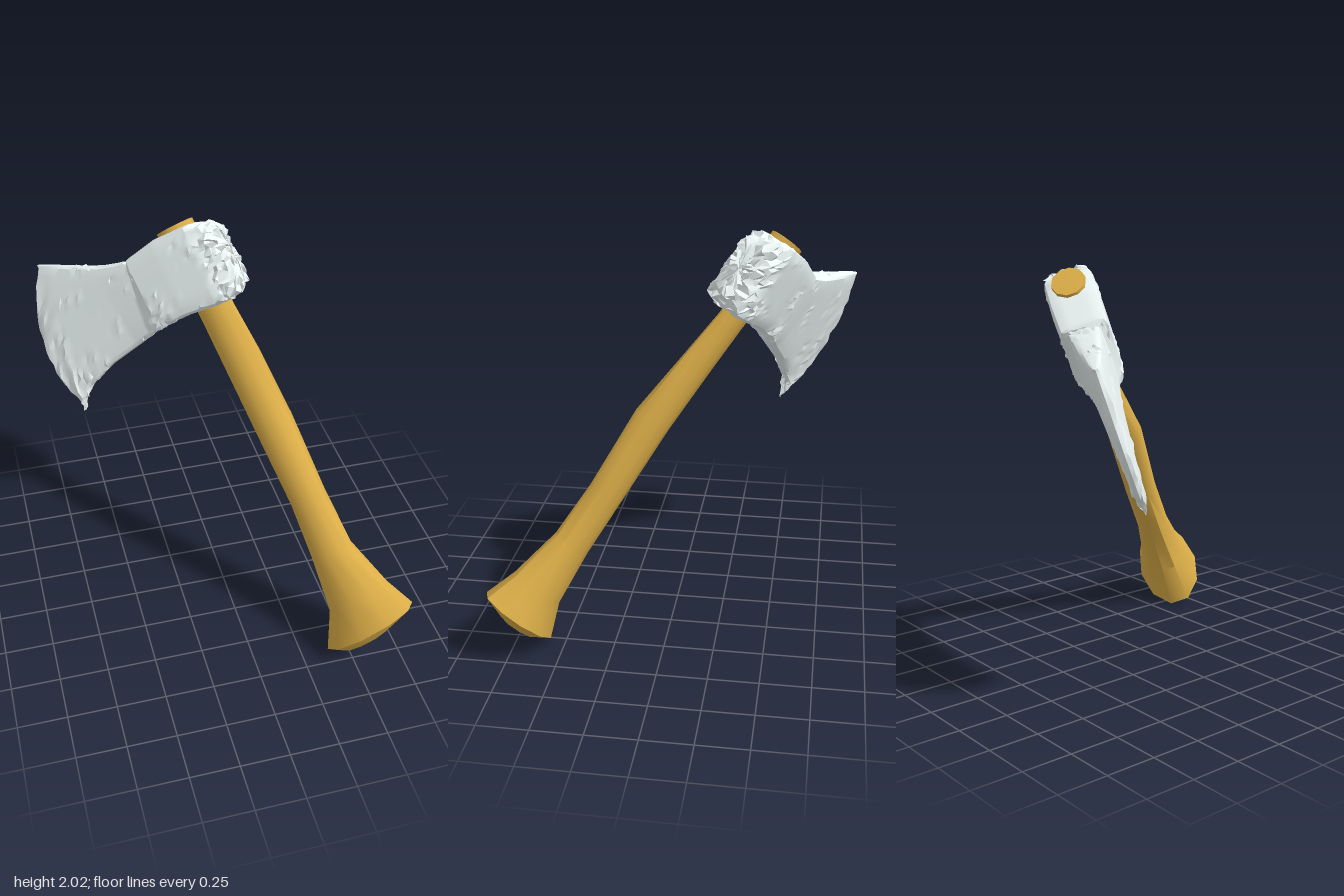
import * as THREE from 'three';
import { toCreasedNormals } from 'three/addons/utils/BufferGeometryUtils.js';

// Skin a list of closed rings (all the same length) with triangles
function loft(rings) {
  const n = rings[0].length, pos = [], idx = [];
  rings.forEach(r => r.forEach(p => pos.push(p.x, p.y, p.z)));
  for (let i = 0; i < rings.length - 1; i++) {
    for (let j = 0; j < n; j++) {
      const a = i * n + j, b = i * n + (j + 1) % n;
      idx.push(a, b, a + n, b, b + n, a + n);
    }
  }
  const g = new THREE.BufferGeometry();
  g.setAttribute('position', new THREE.Float32BufferAttribute(pos, 3));
  g.setIndex(idx);
  return g;
}

// Repeatable noise in -1..1 from a position
function hash(p, seed) {
  const q = v => Math.round(v * 2000);
  const s = Math.sin(q(p.x) * 12.9898 + q(p.y) * 78.233 + q(p.z) * 37.719 + seed * 51.3) * 43758.5453;
  return 2 * (s - Math.floor(s)) - 1;
}

// Hammered roughness: strong on the poll, tip and heel, scattered nicks elsewhere
function roughness(p) {
  const poll = THREE.MathUtils.smoothstep(p.x, 0.06, 0.15) * 0.016;
  const tip = (1 - THREE.MathUtils.smoothstep(Math.hypot(p.x + 0.92, p.y + 0.44), 0.08, 0.24)) * 0.014;
  const heel = (1 - THREE.MathUtils.smoothstep(Math.hypot(p.x + 0.25, p.y + 0.24), 0.03, 0.13)) * 0.01;
  const edge = p.x < -0.84 ? 0.007 : 0;
  const nick = Math.sin(p.x * 17 + 1) * Math.sin(p.y * 19 + p.z * 9) > 0.25 && hash(p, 4) > 0.55 ? 0.01 : 0;
  return Math.max(poll, tip, heel, edge, nick);
}

function headGeometry() {
  // [xTop, xBottom, yTop, yBottom, half thickness, bulge] from poll to cutting edge
  const stations = [
    [0.22, 0.22, -0.08, -0.08, 0, 0],
    [0.212, 0.212, 0.05, -0.22, 0.06, 0],
    [0.175, 0.175, 0.095, -0.26, 0.102, 0],
    [0.08, 0.08, 0.142, -0.28, 0.122, 0],
    [-0.1, -0.1, 0.15, -0.26, 0.122, 0],
    [-0.275, -0.27, 0.125, -0.255, 0.113, 0],
    [-0.3, -0.35, 0.11, -0.265, 0.078, 0],
    [-0.47, -0.45, 0.16, -0.285, 0.06, 0.01],
    [-0.59, -0.66, 0.215, -0.32, 0.046, 0.03],
    [-0.72, -0.85, 0.28, -0.385, 0.031, 0.08],
    [-0.79, -0.92, 0.312, -0.455, 0.016, 0.11],
    [-0.8, -0.93, 0.315, -0.465, 0, 0.112],
  ];
  // Square outline, evenly sampled: up the +z side, over the top, down, back
  const outline = [], nv = 18, nu = 8;
  for (let k = 0; k < nv; k++) outline.push([1, -1 + 2 * k / nv]);
  for (let k = 0; k < nu; k++) outline.push([1 - 2 * k / nu, 1]);
  for (let k = 0; k < nv; k++) outline.push([-1, 1 - 2 * k / nv]);
  for (let k = 0; k < nu; k++) outline.push([-1 + 2 * k / nu, -1]);

  const ring = s => outline.map(([u, v]) => {
    const w = (v + 1) / 2;
    const p = new THREE.Vector3(
      THREE.MathUtils.lerp(s[1], s[0], w) - s[5] * (1 - v * v),
      THREE.MathUtils.lerp(s[3], s[2], w) * (1 - 0.06 * u ** 6),
      u * s[4] * (1 - 0.12 * v ** 6));
    const r = roughness(p), rz = p.x < -0.3 ? Math.min(r, s[4] * 0.6) : r;
    return p.clone().add(new THREE.Vector3(hash(p, 1) * r, hash(p, 2) * r, hash(p, 3) * rz));
  });

  const rings = [];
  for (let i = 0; i < stations.length - 1; i++) {
    const a = stations[i], b = stations[i + 1];
    const span = Math.max(Math.abs(a[0] - b[0]), Math.abs(a[1] - b[1]), Math.abs(a[4] - b[4]));
    const steps = Math.ceil(span / 0.024);
    for (let k = 0; k < steps; k++) rings.push(ring(a.map((v, c) => THREE.MathUtils.lerp(v, b[c], k / steps))));
  }
  rings.push(ring(stations[stations.length - 1]));
  return toCreasedNormals(loft(rings), 0.5);
}

function handleGeometry() {
  // [y, centre x, centre z, radius x, radius z, tilt]; zero radii close the ends
  const sections = [
    [0.168, 0, 0, 0, 0, 0],
    [0.165, 0, 0, 0.1, 0.082, 0],
    [-0.3, 0.008, -0.005, 0.095, 0.056, 0],
    [-0.55, 0.02, 0.003, 0.103, 0.066, 0],
    [-0.92, 0.03, 0.018, 0.104, 0.09, 0],
    [-1.35, 0.015, 0, 0.097, 0.084, 0],
    [-1.65, 0.005, 0, 0.112, 0.086, 0],
    [-1.93, 0.028, 0, 0.172, 0.118, 0.1],
    [-2.105, 0.012, 0, 0.262, 0.17, 0.14],
    [-2.165, -0.04, 0, 0.14, 0.09, 0.12],
    [-2.175, -0.04, 0, 0, 0, 0],
  ];
  const sides = 10;
  const rings = sections.map(([y, cx, cz, rx, rz, tilt]) => Array.from({ length: sides }, (_, j) => {
    const a = (j + 0.5) / sides * Math.PI * 2, dx = rx * Math.cos(a);
    return new THREE.Vector3(cx + dx, y + tilt * dx, cz + rz * Math.sin(a));
  }));
  return toCreasedNormals(loft(rings), 0.75);
}

export function createModel() {
  const steel = new THREE.MeshStandardMaterial({ color: 0xecf6f5 });
  const wood = new THREE.MeshStandardMaterial({ color: 0xdcae48 });

  const head = new THREE.Mesh(headGeometry(), steel);
  head.name = 'axeHead';
  const handle = new THREE.Mesh(handleGeometry(), wood);
  handle.name = 'handle';

  // Axe built upright with the blade toward -x, then leaned into its pose
  const axe = new THREE.Group();
  axe.name = 'axe';
  axe.add(head, handle);
  const up = new THREE.Vector3(-0.306, 0.783, -0.542).normalize();
  const side = new THREE.Vector3(-0.558, 0.314, 0.769).normalize();
  const back = new THREE.Vector3().crossVectors(up, side).normalize();
  side.crossVectors(back, up);
  axe.quaternion.setFromRotationMatrix(new THREE.Matrix4().makeBasis(back, up, side));
  axe.position.set(-0.06, 1.8, -0.43);

  const model = new THREE.Group();
  model.add(axe);
  return model;
}
